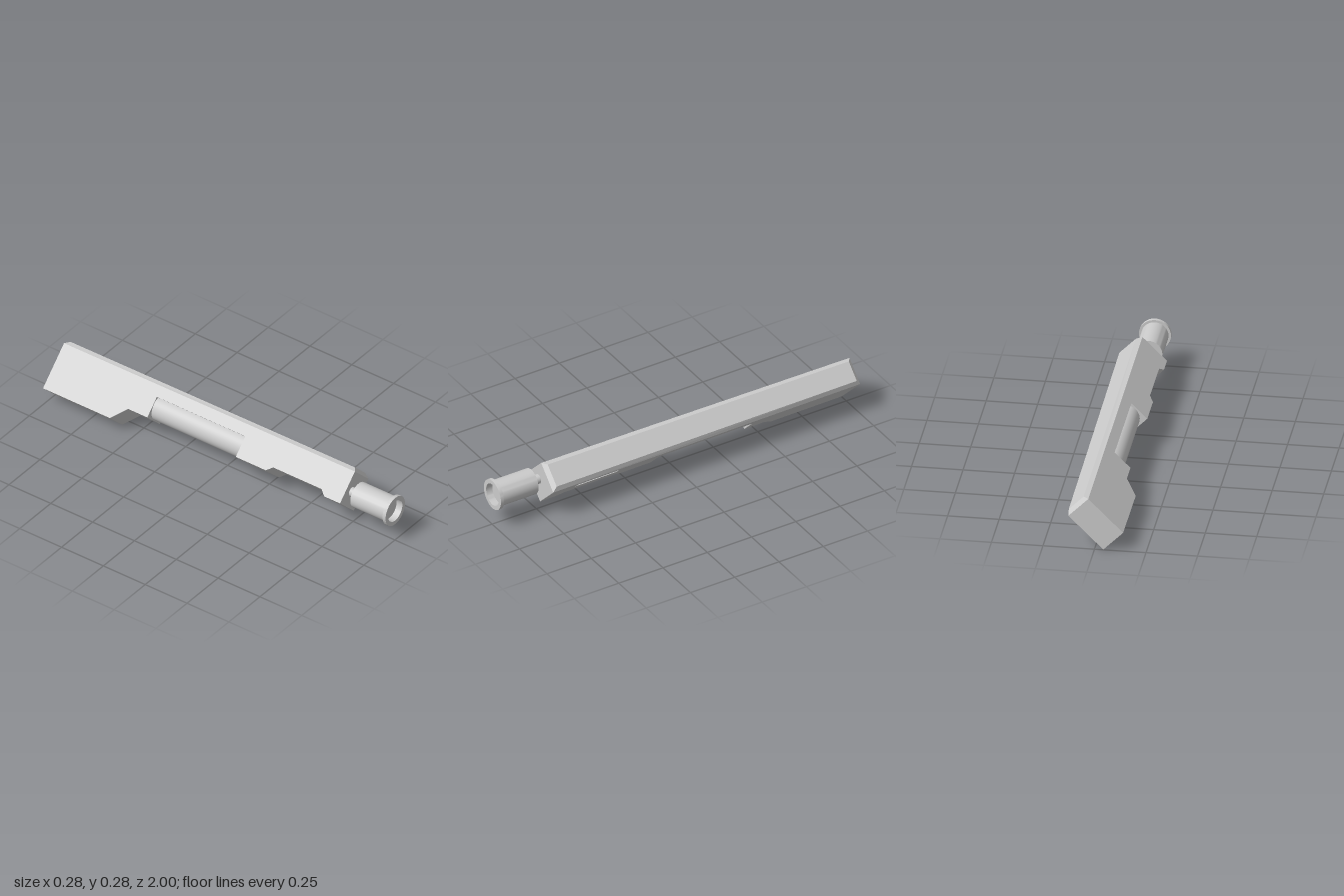
import * as THREE from 'three';
import { toCreasedNormals } from 'three/addons/utils/BufferGeometryUtils.js';

const FRONT = 0.74, BACK = -1, MID = 0.0205;
const material = new THREE.MeshStandardMaterial({ color: 0xcccccc });

function add(parent, name, geometry) {
  const mesh = new THREE.Mesh(geometry, material);
  mesh.name = name;
  parent.add(mesh);
  return mesh;
}

// Narrows the body slightly toward the back
function taper(geometry) {
  const p = geometry.attributes.position;
  for (let i = 0; i < p.count; i++) {
    const t = (FRONT - p.getZ(i)) / (FRONT - BACK);
    p.setX(i, MID + (p.getX(i) - MID) * (1 - 0.12 * t));
    if (p.getY(i) > 0.05) p.setY(i, p.getY(i) - 0.006 * t);
  }
  geometry.computeVertexNormals();
  return geometry;
}

// Side profile as (z, height), with the window and the stepped underside
function sideProfile() {
  return new THREE.Shape([
    [BACK, -0.153], [-0.6, -0.153], [-0.53, -0.077], [-0.415, -0.077],
    [-0.415, 0.032], [0.115, 0.032], [0.115, -0.077], [0.295, -0.077],
    [0.325, -0.05], [0.615, -0.05], [0.645, -0.077], [FRONT, -0.077],
    [FRONT, 0.092], [BACK, 0.092],
  ].map(([z, y]) => new THREE.Vector2(z, y)));
}

// Extrudes a side profile across the width, from xMin to xMax
function slab(shape, xMin, xMax) {
  const g = new THREE.ExtrudeGeometry(shape, { depth: xMax - xMin, bevelEnabled: false });
  g.rotateY(-Math.PI / 2).translate(xMax, 0, 0);
  return taper(g);
}

// Box whose top is inset on all four sides
function bevelledTop() {
  const g = new THREE.BoxGeometry(0.155, 0.019, FRONT - BACK).toNonIndexed();
  const p = g.attributes.position;
  for (let i = 0; i < p.count; i++) {
    if (p.getY(i) < 0) continue;
    p.setX(i, p.getX(i) - Math.sign(p.getX(i)) * 0.02);
    p.setZ(i, p.getZ(i) - Math.sign(p.getZ(i)) * 0.02);
  }
  g.translate(MID, 0.1015, (FRONT + BACK) / 2);
  return taper(g);
}

// Cylinder along z between two positions
function rod(radius, zBack, zFront) {
  return new THREE.CylinderGeometry(radius, radius, zFront - zBack, 40)
    .rotateX(Math.PI / 2).translate(0, 0, (zFront + zBack) / 2);
}

export function createModel() {
  const model = new THREE.Group();
  model.name = 'model';

  // Everything is built upright, then rolled 45 degrees about its long axis
  const rolled = new THREE.Group();
  rolled.name = 'rolledAssembly';
  rolled.position.set(0.003, 0.174, 0);
  rolled.rotation.z = -Math.PI / 4;
  model.add(rolled);

  // Body: solid core plus an outer wall pierced by the side slot
  add(rolled, 'bodyCore', slab(sideProfile(), -0.057, 0.058));
  const wall = sideProfile();
  wall.holes.push(new THREE.Path([
    [0.355, 0.028], [0.355, 0.063], [0.585, 0.063], [0.585, 0.028],
  ].map(([z, y]) => new THREE.Vector2(z, y))));
  add(rolled, 'slottedSideWall', slab(wall, 0.058, 0.098));
  add(rolled, 'bevelledTop', bevelledTop());

  // Inner tube seen through the window
  add(rolled, 'innerTube', rod(0.067, -0.43, 0.13)).position.set(MID, -0.005, 0);

  // Front end: thin neck and a flanged, hollow-ended cylinder
  add(rolled, 'neck', rod(0.024, 0.7, 0.79));
  const profile = [
    [0, 0.78], [0.066, 0.78], [0.066, 0.982], [0.078, 0.982],
    [0.078, 1], [0.057, 1], [0.057, 0.965], [0, 0.965],
  ].map(([r, z]) => new THREE.Vector2(r, z));
  const cap = new THREE.LatheGeometry(profile, 48).rotateX(Math.PI / 2);
  add(rolled, 'flangedEnd', toCreasedNormals(cap, 0.6));

  return model;
}
